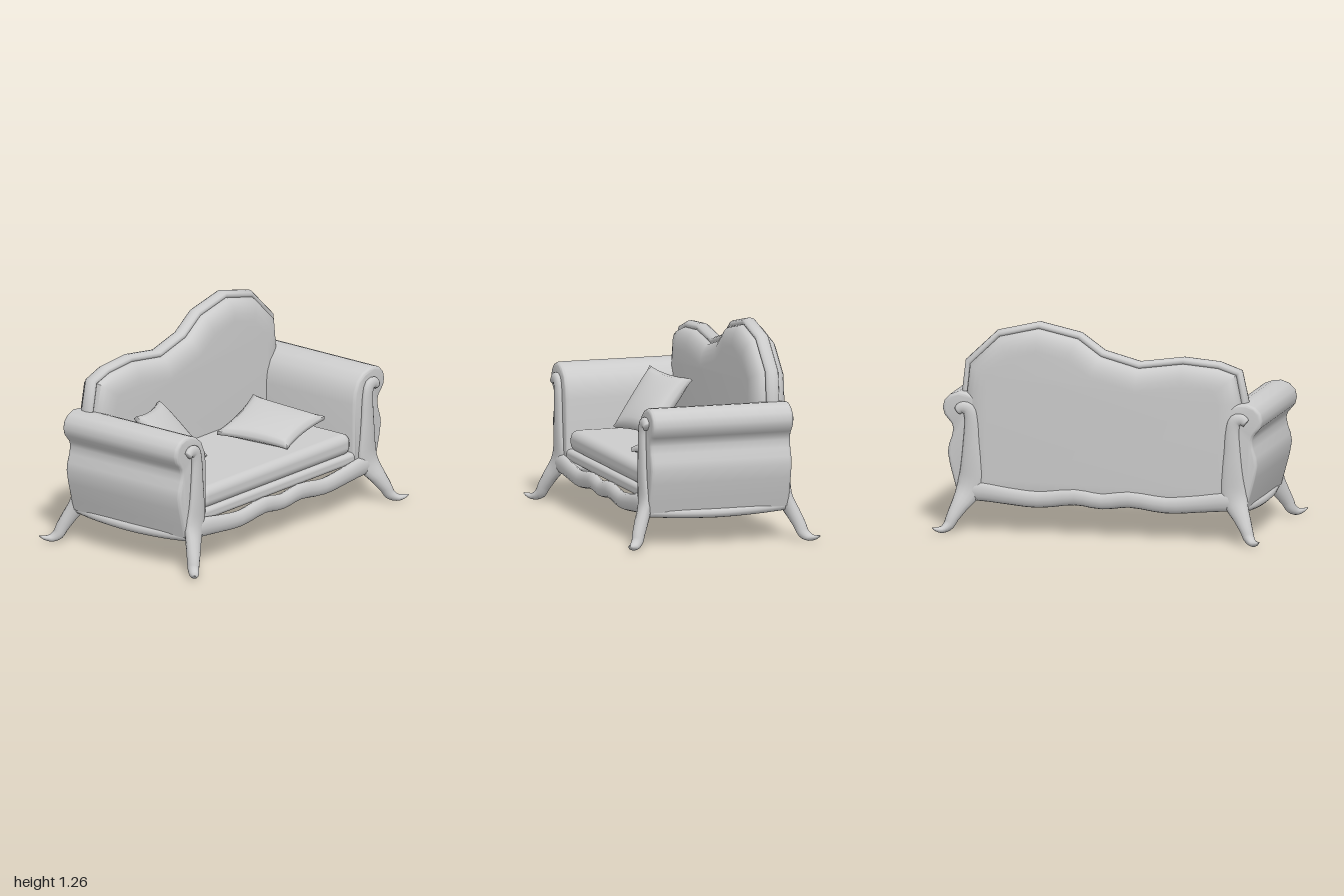
import * as THREE from 'three';
import { toCreasedNormals } from 'three/addons/utils/BufferGeometryUtils.js';
import { RoundedBoxGeometry } from 'three/addons/geometries/RoundedBoxGeometry.js';

const grey = new THREE.MeshStandardMaterial({ color: 0xcccccc });

function add(parent, name, geometry) {
  const mesh = new THREE.Mesh(geometry, grey);
  mesh.name = name;
  parent.add(mesh);
  return mesh;
}

// Sweeps an ellipse along rows of [x, y, z, halfWidth, halfDepth]; depth lies along ref.
function loft(rows, ref, perSpan = 1, sides = 12) {
  const curve = new THREE.CatmullRomCurve3(rows.map(r => new THREE.Vector3(r[0], r[1], r[2])));
  const steps = (rows.length - 1) * perSpan;
  const pos = [], index = [];
  const ring = (i, scale) => {
    const t = i / steps, p = curve.getPoint(t), tan = curve.getTangent(t);
    const k = Math.min(Math.floor(i / perSpan), rows.length - 2), f = i / perSpan - k;
    const w = THREE.MathUtils.lerp(rows[k][3], rows[k + 1][3], f) * scale;
    const d = THREE.MathUtils.lerp(rows[k][4], rows[k + 1][4], f) * scale;
    const side = new THREE.Vector3().crossVectors(tan, ref).normalize();
    const depth = new THREE.Vector3().crossVectors(tan, side);
    for (let j = 0; j < sides; j++) {
      const a = j / sides * Math.PI * 2;
      const v = p.clone().addScaledVector(side, Math.cos(a) * w).addScaledVector(depth, Math.sin(a) * d);
      pos.push(v.x, v.y, v.z);
    }
  };
  ring(0, 0.001);
  for (let i = 0; i <= steps; i++) ring(i, 1);
  ring(steps, 0.001);
  for (let i = 0; i < steps + 2; i++) {
    for (let j = 0; j < sides; j++) {
      const n = (j + 1) % sides, a = i * sides + j, b = i * sides + n;
      index.push(a, b, a + sides, b, b + sides, a + sides);
    }
  }
  const g = new THREE.BufferGeometry();
  g.setAttribute('position', new THREE.Float32BufferAttribute(pos, 3));
  g.setIndex(index);
  g.computeVertexNormals();
  return g;
}

// Extrudes an outline between z0 and z1 with edges rounded inwards.
function padded(points, z0, z1, size, thickness, inset = 0) {
  const g = new THREE.ExtrudeGeometry(new THREE.Shape(points), {
    depth: z1 - z0 - 2 * thickness, bevelEnabled: true, bevelSegments: 5,
    bevelSize: size, bevelOffset: -size - inset, bevelThickness: thickness,
  });
  g.translate(0, 0, z0 + thickness);
  return toCreasedNormals(g, 0.9);
}

// Pillow stretched between four corners, with pinched edges and a plump middle.
function pillow([tl, tr, br, bl], plump) {
  const c = [tl, tr, br, bl].map(p => new THREE.Vector3(...p));
  const normal = new THREE.Vector3().crossVectors(
    c[1].clone().sub(c[3]), c[0].clone().sub(c[2])).normalize();
  const g = new THREE.BoxGeometry(2, 2, 2, 16, 16, 1);
  const p = g.attributes.position;
  for (let i = 0; i < p.count; i++) {
    const u = p.getX(i), v = p.getY(i), s = Math.sign(p.getZ(i));
    const a = (u * (1 - 0.09 * (1 - v * v)) + 1) / 2, b = (v * (1 - 0.09 * (1 - u * u)) + 1) / 2;
    const top = c[0].clone().lerp(c[1], a), low = c[3].clone().lerp(c[2], a);
    const h = 0.012 + plump * Math.pow((1 - u * u) * (1 - v * v), 0.4);
    const q = low.lerp(top, b).addScaledVector(normal, s * h);
    p.setXYZ(i, q.x, q.y, q.z);
  }
  return toCreasedNormals(g, 1.3);
}

export function createModel() {
  const sofa = new THREE.Group();
  sofa.name = 'sofa';
  const X = new THREE.Vector3(1, 0, 0), Z = new THREE.Vector3(0, 0, 1);

  // Seat
  add(sofa, 'seatBase', new RoundedBoxGeometry(1.42, 0.07, 0.86, 4, 0.025)).position.set(0, 0.307, 0);
  add(sofa, 'seatCushion', new RoundedBoxGeometry(1.385, 0.13, 0.7, 5, 0.052)).position.set(0, 0.397, 0.068);

  // Backrest with an uneven crest and a raised rim
  const crest = [
    [-0.85, 0.7], [-0.85, 0.84], [-0.815, 1.01], [-0.695, 1.05], [-0.48, 1.068], [-0.21, 1.03], [0.015, 1.09],
    [0.155, 1.19], [0.4, 1.243], [0.645, 1.185], [0.83, 1.01], [0.85, 0.83], [0.85, 0.7],
  ];
  const outline = [[-0.85, 0.18], ...crest, [0.85, 0.18]].map(p => new THREE.Vector2(...p));
  add(sofa, 'backrest', padded(outline, -0.455, -0.242, 0.125, 0.065, 0.014));
  add(sofa, 'backrestRim', loft(crest.map(([x, y]) => [x, y, -0.348, 0.025, 0.041]), Z));

  // Rolled arms
  const arm = [
    [0.69, 0.27], [0.69, 0.64], [0.7, 0.71], [0.73, 0.775], [0.78, 0.815], [0.83, 0.833], [0.88, 0.838],
    [0.93, 0.82], [0.965, 0.785], [0.976, 0.74], [0.965, 0.698], [0.94, 0.668], [0.92, 0.645], [0.912, 0.615],
    [0.92, 0.57], [0.938, 0.52], [0.945, 0.47], [0.93, 0.39], [0.9, 0.28], [0.88, 0.21], [0.83, 0.24],
  ];
  // Scrolled posts running down into splayed legs: x, y, z, half width, half depth
  const post = [
    [0.88, 0.725, 0.445, 0.026, 0.024], [0.855, 0.746, 0.446, 0.034, 0.024], [0.815, 0.737, 0.446, 0.039, 0.024],
    [0.797, 0.68, 0.446, 0.04, 0.024], [0.795, 0.55, 0.446, 0.05, 0.024], [0.795, 0.42, 0.445, 0.063, 0.025],
    [0.8, 0.31, 0.438, 0.078, 0.031], [0.822, 0.235, 0.442, 0.073, 0.04], [0.86, 0.165, 0.472, 0.053, 0.041],
    [0.896, 0.095, 0.502, 0.039, 0.038], [0.916, 0.05, 0.518, 0.033, 0.035], [0.945, 0.027, 0.548, 0.022, 0.028],
    [0.975, 0.03, 0.575, 0.013, 0.017], [0.997, 0.041, 0.596, 0.003, 0.004],
  ];
  for (const sx of [1, -1]) {
    const side = sx > 0 ? 'left' : 'right';
    add(sofa, side + 'Arm', padded(arm.map(([x, y]) => new THREE.Vector2(sx * x, y)), -0.44, 0.436, 0.02, 0.022));
    add(sofa, side + 'Rail', loft([
      [sx * 0.835, 0.21, -0.43, 0.03, 0.035], [sx * 0.857, 0.2, -0.25, 0.03, 0.035],
      [sx * 0.863, 0.193, 0, 0.031, 0.035], [sx * 0.857, 0.2, 0.25, 0.03, 0.035],
      [sx * 0.835, 0.21, 0.43, 0.03, 0.035],
    ], X, 4));
    for (const sz of [1, -1]) {
      add(sofa, side + (sz > 0 ? 'Front' : 'Back') + 'PostAndLeg',
        loft(post.map(([x, y, z, w, d]) => [sx * x, y, sz * z, w, d]), Z, 3, 14));
    }
  }

  // Wavy rails: x, bottom, top
  const wave = [[0, 0.17, 0.267], [0.165, 0.187, 0.289], [0.39, 0.162, 0.264], [0.58, 0.175, 0.283],
    [0.72, 0.187, 0.305], [0.83, 0.19, 0.31]];
  const half = wave.slice(1).map(([x, a, b]) => [-x, a, b]).reverse();
  for (const sz of [1, -1]) {
    add(sofa, sz > 0 ? 'frontRail' : 'backRail', loft([...half, ...wave].map(
      ([x, a, b]) => [x, (a + b) / 2, sz * 0.438, (b - a) / 2, 0.034]), Z, 3));
  }

  // Loose pillows, one leaning and one lying flat
  add(sofa, 'leaningPillow', pillow([
    [-0.705, 0.81, -0.1], [-0.335, 0.785, -0.228], [-0.22, 0.473, 0.045], [-0.618, 0.473, 0.155]], 0.052));
  add(sofa, 'lyingPillow', pillow([
    [0.097, 0.5, -0.132], [0.533, 0.603, -0.215], [0.618, 0.545, 0.262], [0.2, 0.478, 0.32]], 0.042));

  return sofa;
}
